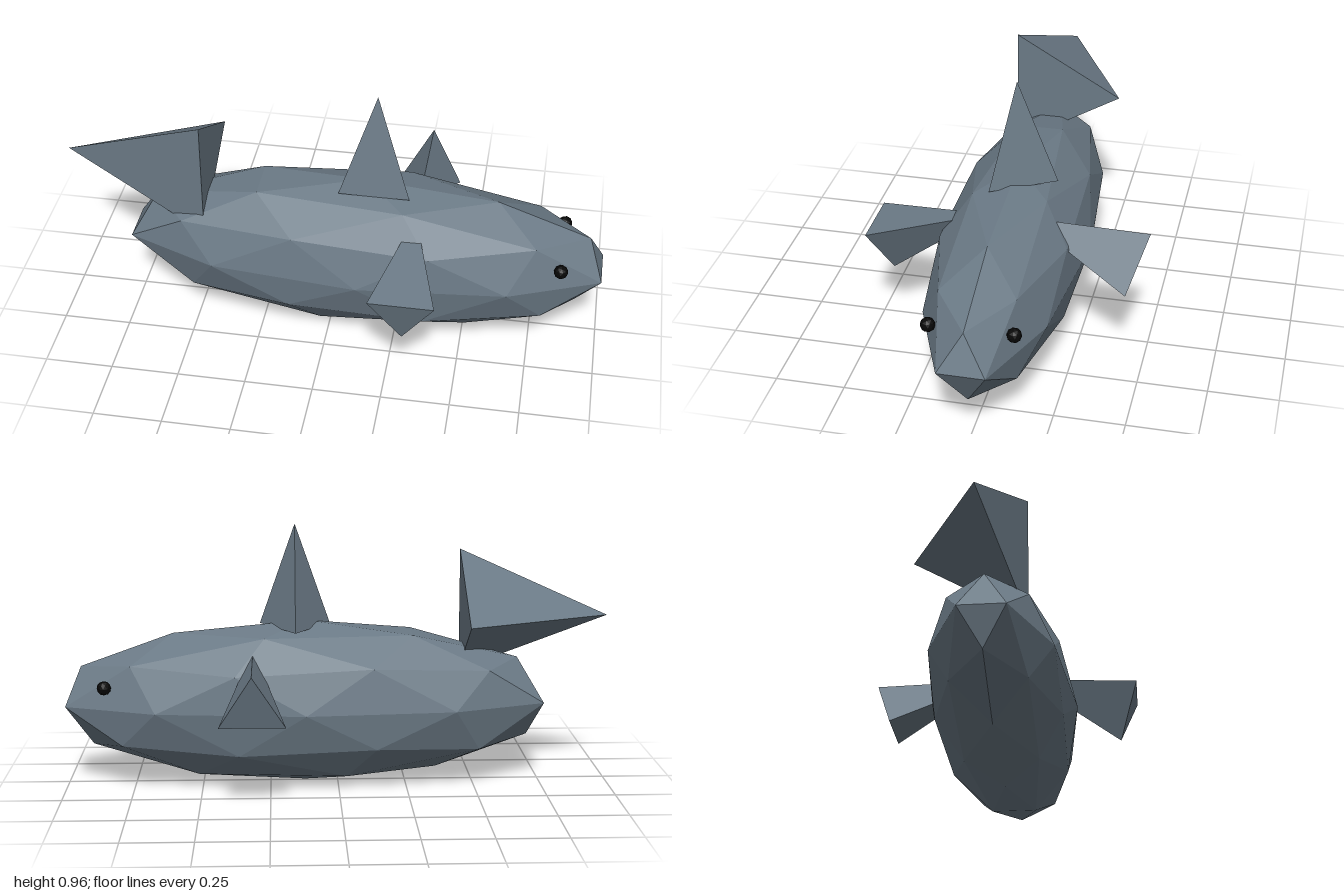
import * as THREE from 'three';

export function createModel() {
  const model = new THREE.Group();
  model.name = 'fish';

  const skin = new THREE.MeshStandardMaterial({ color: 0x6b7a86, flatShading: true });
  skin.name = 'slate grey skin';
  const black = new THREE.MeshStandardMaterial({ color: 0x060606, flatShading: true });
  black.name = 'black eye';

  const add = (name, geometry, material, position) => {
    const mesh = new THREE.Mesh(geometry, material);
    mesh.name = name;
    mesh.position.set(...position);
    model.add(mesh);
    return mesh;
  };

  // Faceted sphere turned so that one corner points straight up
  const facetedSphere = (sx, sy, sz) => {
    const phi = (1 + Math.sqrt(5)) / 2;
    return new THREE.IcosahedronGeometry(1, 1)
      .rotateZ(-Math.atan(1 / phi))
      .scale(sx, sy, sz);
  };

  // Three-sided spike: the origin is the centre of its base
  const fin = (name, radius, height, position, rx, rz) => {
    const geometry = new THREE.ConeGeometry(radius, height, 3)
      .translate(0, height / 2, 0)
      .rotateY(Math.PI);
    add(name, geometry, skin, position).rotation.set(rx, 0, rz);
  };

  // Body, with its nose at +x
  add('body', facetedSphere(0.925, 0.303, 0.27), skin, [0.12, 0.305, 0.01]);

  // Fins; the side fins have their points buried in the body
  fin('dorsalFin', 0.15, 0.38, [0.157, 0.585, 0.007], 0, 0);
  fin('tailFin', 0.267, 0.535, [-0.465, 0.62, 0.01], 0, Math.PI / 2);
  fin('frontSideFin', 0.136, 0.428, [0.312, 0.372, 0.478], -1.241, 0);
  fin('backSideFin', 0.136, 0.428, [0.312, 0.373, -0.459], 1.241, 0);

  // Eyes
  for (const side of [1, -1]) {
    add(side > 0 ? 'frontEye' : 'backEye', facetedSphere(0.026, 0.026, 0.026), black,
      [0.85, 0.388, 0.01 + side * 0.147]);
  }

  return model;
}
